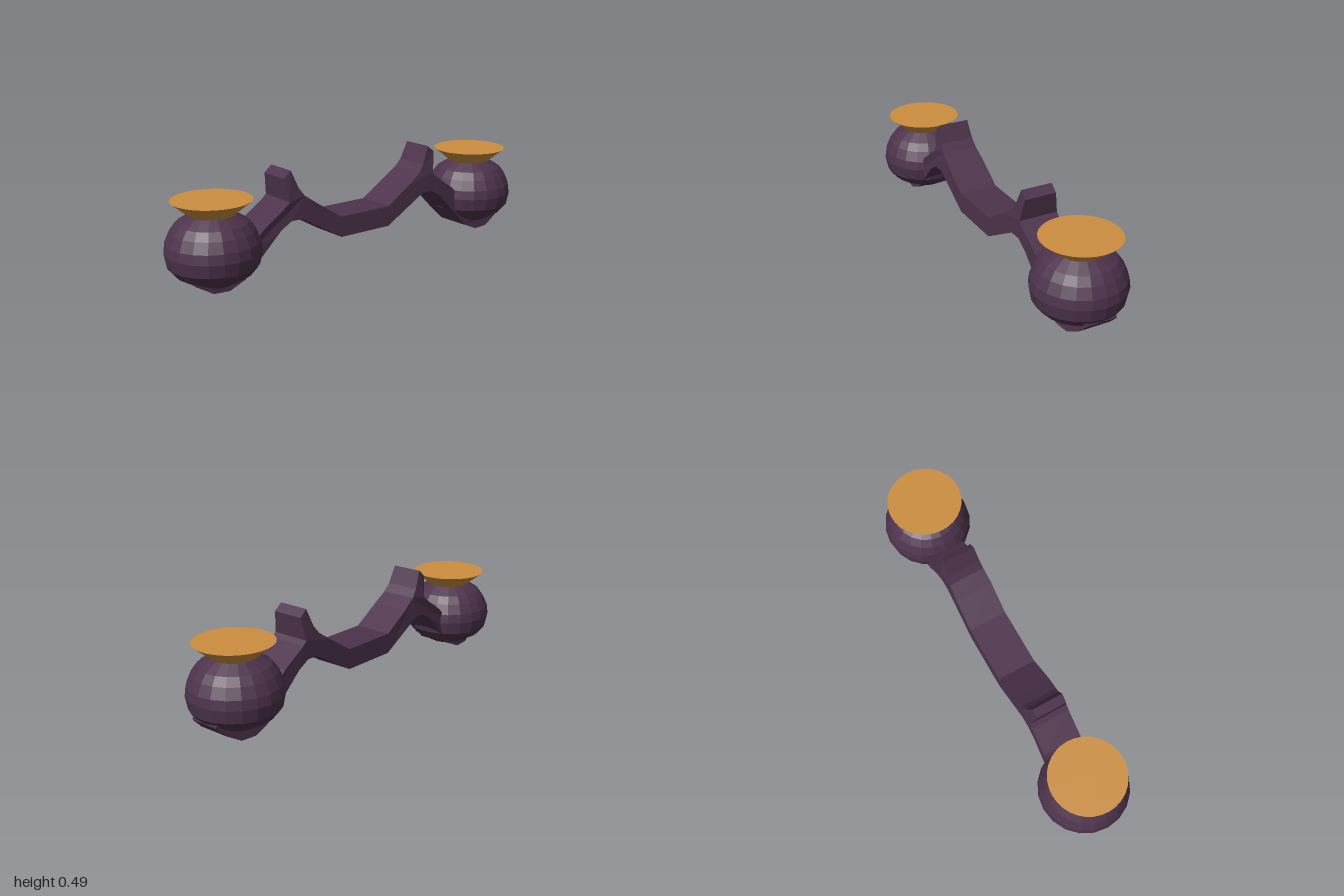
import * as THREE from 'three';

const purple = new THREE.MeshStandardMaterial({ color: 0x4d334c, flatShading: true });
const amber = new THREE.MeshStandardMaterial({ color: 0xcc8e40, flatShading: true });

function add(parent, name, geometry, material) {
  const mesh = new THREE.Mesh(geometry, material);
  mesh.name = name;
  parent.add(mesh);
  return mesh;
}

// Long bent beam: side profile as [z, y], mirrored front to back
function beamGeometry() {
  const top = [
    [0.145, 0.23], [0.283, 0.318], [0.35, 0.365], [0.38, 0.404], // rising arm
    [0.417, 0.49], [0.455, 0.457], [0.438, 0.35], [0.46, 0.33],  // fin
    [0.578, 0.25], [0.68, 0.14], [0.8, 0.09], [0.9, 0.11], [0.963, 0.125],
  ];
  const bottom = [
    [0.97, 0.1], [0.92, 0.05], [0.84, 0.003], [0.76, 0], [0.68, 0.035], // cradle under pot
    [0.583, 0.13], [0.487, 0.227], [0.43, 0.26], [0.37, 0.26], [0.145, 0.13],
  ];
  const half = [...top, ...bottom];
  const mirrored = half.map(([z, y]) => [-z, y]).reverse();
  const shape = new THREE.Shape([...half, ...mirrored].map(([z, y]) => new THREE.Vector2(z, y)));
  const geometry = new THREE.ExtrudeGeometry(shape, { depth: 2, bevelEnabled: false });
  geometry.translate(0, 0, -1).rotateY(-Math.PI / 2);

  // Narrow the fin tips and the cradle ends
  const p = geometry.attributes.position;
  for (let i = 0; i < p.count; i++) {
    const y = p.getY(i), z = Math.abs(p.getZ(i));
    let w = 0.097;
    if (y > 0.36) w = THREE.MathUtils.mapLinear(Math.min(y, 0.46), 0.36, 0.46, 0.092, 0.078);
    else if (z > 0.66) w = THREE.MathUtils.mapLinear(Math.max(z, 0.8), 0.8, 0.97, 0.091, 0.074);
    p.setX(i, Math.sign(p.getX(i)) * w);
  }
  geometry.computeVertexNormals();
  return geometry;
}

// Round pot and flared dish share the lathe helper
function lathe(points, sides) {
  return new THREE.LatheGeometry(points.map(([r, y]) => new THREE.Vector2(r, y)), sides);
}

const potProfile = [
  [0, 0.015], [0.09, 0.022], [0.172, 0.068], [0.206, 0.109], [0.218, 0.17],
  [0.212, 0.215], [0.19, 0.265], [0.163, 0.302], [0.105, 0.338], [0, 0.342],
];
const dishProfile = [[0, 0.335], [0.1, 0.335], [0.183, 0.403], [0.183, 0.403], [0, 0.403]];

export function createModel() {
  const model = new THREE.Group();
  add(model, 'beam', beamGeometry(), purple);

  for (const [side, name, lift] of [[1, 'front', 0], [-1, 'back', 0.019]]) {
    const end = new THREE.Group();
    end.name = name + 'End';
    end.position.set(0, lift, side * 0.785);
    add(end, name + 'Pot', lathe(potProfile, 20), purple);
    add(end, name + 'Dish', lathe(dishProfile, 32), amber);
    model.add(end);
  }
  return model;
}
